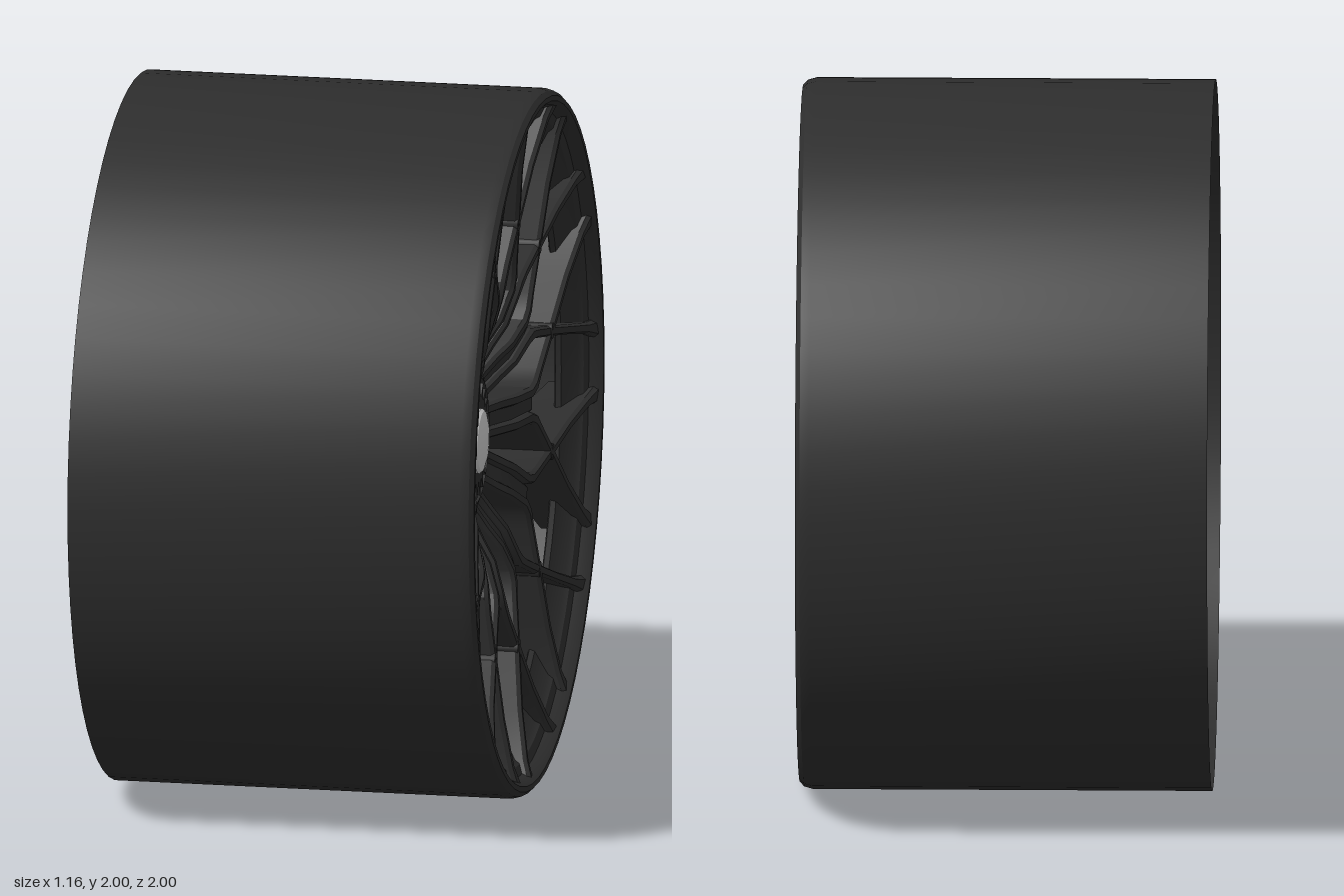
import * as THREE from 'three';
import { toCreasedNormals } from 'three/addons/utils/BufferGeometryUtils.js';

const SPOKES = 11;
const dark = new THREE.MeshStandardMaterial({ color: 0x2d2d2d, side: THREE.DoubleSide });
const grey = new THREE.MeshStandardMaterial({ color: 0xcccccc, side: THREE.DoubleSide });

// Revolve [radius, x] points about the wheel axis (x)
function revolve(points, segments) {
  const g = new THREE.LatheGeometry(points.map(p => new THREE.Vector2(p[0], p[1])), segments);
  g.rotateZ(-Math.PI / 2);
  return toCreasedNormals(g, 0.5);
}

// Sweep a chamfered bar through stations
// { p: [radial, tangential], w: half width, f: front x, b: back x }
function sweep(stations) {
  const pos = [], idx = [], n = 6;
  stations.forEach((s, i) => {
    const p = stations[Math.max(i - 1, 0)].p, q = stations[Math.min(i + 1, stations.length - 1)].p;
    const d = new THREE.Vector2(q[0] - p[0], q[1] - p[1]).normalize();
    const { w, f, b } = s;
    const loop = [
      [-w * 0.8, b], [w * 0.8, b], [w, f - 0.012], [w * 0.6, f], [-w * 0.6, f], [-w, f - 0.012],
    ];
    for (const [u, x] of loop) pos.push(x, s.p[1] + d.x * u, -(s.p[0] - d.y * u));
  });
  for (let i = 0; i < stations.length - 1; i++) {
    for (let j = 0; j < n; j++) {
      const k = (j + 1) % n, a = i * n + j, b = i * n + k;
      idx.push(a, b, b + n, a, b + n, a + n);
    }
  }
  const g = new THREE.BufferGeometry();
  g.setAttribute('position', new THREE.Float32BufferAttribute(pos, 3));
  g.setIndex(idx);
  return toCreasedNormals(g, 0.4);
}

export function createModel() {
  const wheel = new THREE.Group();
  wheel.name = 'wheel';
  wheel.position.y = 1;
  const add = (name, geometry, material = dark, parent = wheel) => {
    const m = new THREE.Mesh(geometry, material);
    m.name = name;
    parent.add(m);
    return m;
  };

  // Barrel open at the rear, with a rounded lip and a shallow sloping flange at the face
  add('rim', revolve([
    [1, -0.58], [1, 0.54], [0.993, 0.565], [0.98, 0.578], [0.965, 0.578], [0.955, 0.565],
    [0.945, 0.54], [0.92, 0.53], [0.91, 0.515], [0.845, 0.48], [0.84, 0.465], [0.85, 0.46], [0.999, 0.48],
  ], 64));

  // Spokes: a grooved arm whose two rails fork into fins that cross the neighbouring fins
  const arm = sweep([
    { p: [0.15, 0], w: 0.036, f: 0.36, b: 0.26 },
    { p: [0.22, 0], w: 0.036, f: 0.37, b: 0.26 },
    { p: [0.28, 0], w: 0.036, f: 0.40, b: 0.265 },
    { p: [0.34, 0], w: 0.036, f: 0.435, b: 0.27 },
    { p: [0.42, 0], w: 0.034, f: 0.46, b: 0.275 },
    { p: [0.465, 0], w: 0.036, f: 0.468, b: 0.28 },
  ]);
  const fin = side => sweep([
    { p: [0.16, side * 0.032], w: 0.016, f: 0.38, b: 0.26 },
    { p: [0.22, side * 0.035], w: 0.016, f: 0.39, b: 0.26 },
    { p: [0.28, side * 0.037], w: 0.016, f: 0.42, b: 0.265 },
    { p: [0.34, side * 0.037], w: 0.016, f: 0.455, b: 0.27 },
    { p: [0.425, side * 0.036], w: 0.017, f: 0.48, b: 0.275 },
    { p: [0.462, side * 0.05], w: 0.018, f: 0.486, b: 0.28 },
    { p: [0.5, side * 0.083], w: 0.015, f: 0.49, b: 0.285 },
    { p: [0.595, side * 0.175], w: 0.015, f: 0.505, b: 0.3 },
    { p: [0.72, side * 0.3], w: 0.014, f: 0.525, b: 0.34 },
    { p: [0.82, side * 0.4], w: 0.016, f: 0.55, b: 0.39 },
    { p: [0.868, side * 0.448], w: 0.03, f: 0.572, b: 0.42 },
  ]);
  const finLeft = fin(1), finRight = fin(-1);
  const node = new THREE.CylinderGeometry(0.023, 0.023, 0.2, 10);
  node.rotateZ(-Math.PI / 2);
  node.translate(0.404, 0.175, -0.595);

  for (let i = 0; i < SPOKES; i++) {
    const spoke = new THREE.Group();
    spoke.name = 'spoke';
    spoke.rotation.x = (i / SPOKES) * Math.PI * 2;
    wheel.add(spoke);
    add('spokeArm', arm, dark, spoke);
    add('spokeFin', finLeft, dark, spoke);
    add('spokeFin', finRight, dark, spoke);
    add('spokeCrossing', node, dark, spoke);
  }

  // Hub body with a wider rear flange behind the arms and a recessed face
  add('hub', revolve([
    [0, 0.25], [0.24, 0.25], [0.26, 0.265], [0.255, 0.3], [0.22, 0.335], [0.198, 0.375],
    [0.19, 0.398], [0.178, 0.402], [0.17, 0.365], [0, 0.365],
  ], 44));

  // Toothed locking ring
  const teeth = 22, star = new THREE.Shape();
  for (let i = 0; i < teeth * 2; i++) {
    const a = (i / (teeth * 2)) * Math.PI * 2, r = i % 2 ? 0.118 : 0.165;
    star[i ? 'lineTo' : 'moveTo'](r * Math.cos(a), r * Math.sin(a));
  }
  star.closePath();
  star.holes.push(new THREE.Path().absarc(0, 0, 0.09, 0, Math.PI * 2, true));
  const ring = new THREE.ExtrudeGeometry(star, { depth: 0.045, bevelEnabled: false, curveSegments: 32 });
  ring.rotateY(Math.PI / 2);
  ring.translate(0.36, 0, 0);
  add('toothedRing', ring);

  // Domed centre cap
  add('centreCap', revolve([
    [0.092, 0.38], [0.092, 0.41], [0.085, 0.418], [0.06, 0.425], [0.03, 0.429], [0, 0.43],
  ], 32), grey);

  const model = new THREE.Group();
  model.name = 'wheelModel';
  model.add(wheel);
  return model;
}
